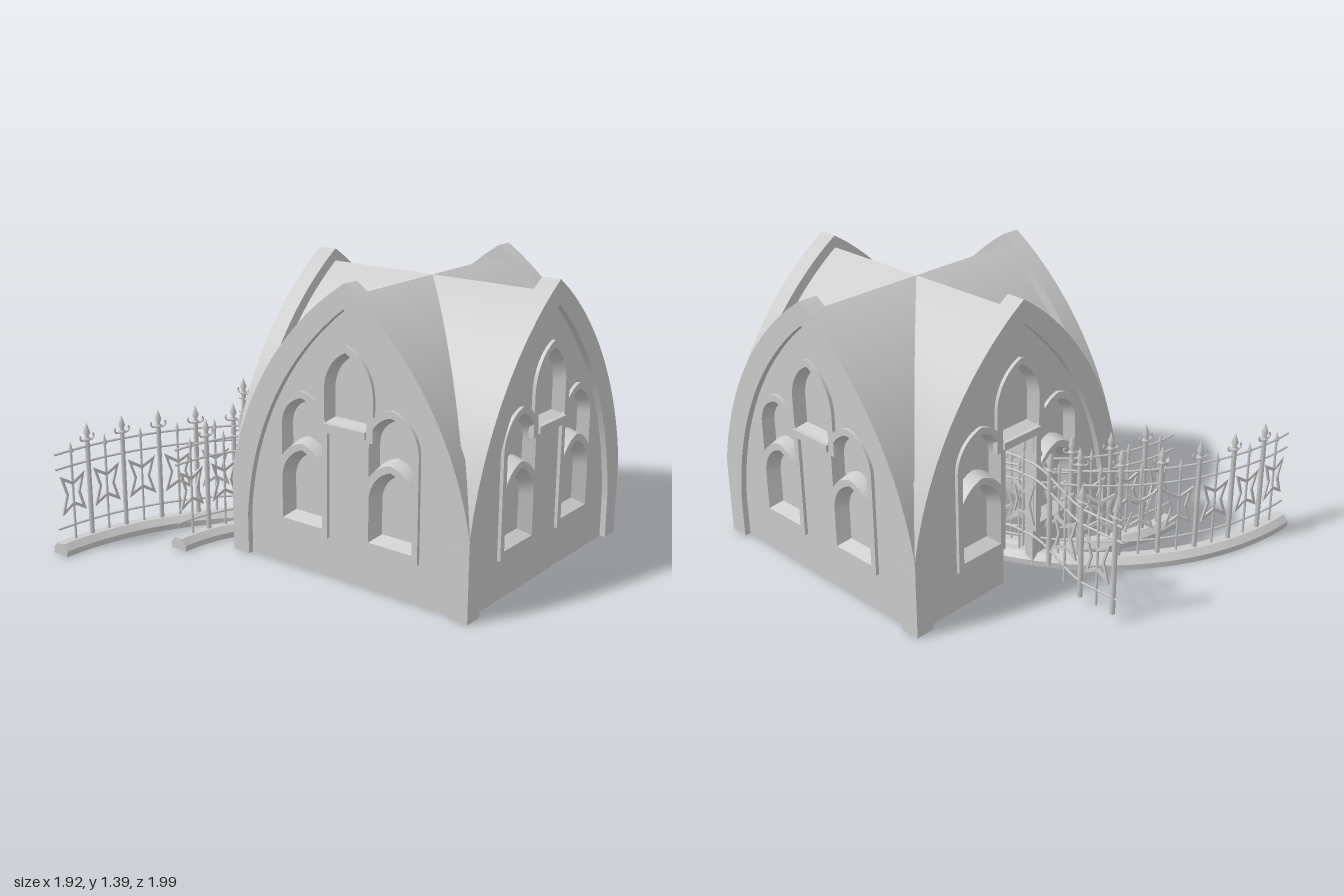
import * as THREE from 'three';
import { mergeGeometries, toCreasedNormals } from 'three/addons/utils/BufferGeometryUtils.js';

const mat = new THREE.MeshStandardMaterial({ color: 0xcccccc, side: THREE.DoubleSide });
const HALF = 0.672, WALL = 0.642, PANE = 0.6;
const V2 = (x, y) => new THREE.Vector2(x, y);

function add(parent, name, geo, x = 0, y = 0, z = 0) {
  const m = new THREE.Mesh(geo, mat);
  m.name = name;
  m.position.set(x, y, z);
  parent.add(m);
  return m;
}

// Height of a pointed arch of half-width w and rise h
function archY(x, w, h) {
  const r = (w * w + h * h) / (2 * w);
  return Math.sqrt(Math.max(0, r * r - (Math.abs(x) + r - w) ** 2));
}

// Closed window outline; the bottom edge can follow a curve
function outline(cx, w, y0, ys, ya, bottom = () => 0, n = 20) {
  const pts = [];
  for (let i = 0; i <= n; i++) {
    const x = -w * Math.cos(Math.PI * i / n);
    pts.push(V2(cx + x, y0 + bottom(x)));
  }
  for (let i = 0; i <= n; i++) {
    const x = w * Math.cos(Math.PI * i / n);
    pts.push(V2(cx + x, ys + archY(x, w, ya - ys)));
  }
  return pts;
}

// Skin through closed outlines at given depths
function loft(rings) {
  const pos = [], idx = [], n = rings[0][0].length;
  rings.forEach(([pts, z]) => pts.forEach(p => pos.push(p.x, p.y, z)));
  for (let r = 0; r < rings.length - 1; r++) for (let i = 0; i < n; i++) {
    const a = r * n + i, b = r * n + (i + 1) % n;
    idx.push(a, b, a + n, b, b + n, a + n);
  }
  const g = new THREE.BufferGeometry();
  g.setAttribute('position', new THREE.Float32BufferAttribute(pos, 3));
  g.setIndex(idx);
  return toCreasedNormals(g, 0.6);
}

// Large gable arc: half-width at height y
const outerX = y => Math.min(HALF, Math.sqrt(Math.max(0, 1.5263 ** 2 - (y - 0.11) ** 2)) - 0.83);
const innerX = y => Math.sqrt(Math.max(0, 0.909 ** 2 + 1.18 ** 2 - (y - 0.1) ** 2)) - 0.909;
function gableCurve(fx, top, n = 28) {
  const right = [];
  for (let i = 0; i < n; i++) right.push(V2(fx(top * i / n), top * i / n));
  return [...right, V2(0, top), ...right.map(p => V2(-p.x, p.y)).reverse()];
}
function extrude(pts, depth, z, holes = []) {
  const s = new THREE.Shape(pts);
  s.holes = holes.map(h => new THREE.Path(h));
  const g = new THREE.ExtrudeGeometry(s, { depth, bevelEnabled: false }).translate(0, 0, z);
  return toCreasedNormals(g, 0.5);
}

// One quarter of the groin vault, from the diagonals out to the gable
function vaultGeometry() {
  const pos = [], idx = [], n = 40, w = 0.6;
  for (let i = 0; i <= n; i++) {
    const x = -w + 2 * w * i / n, a = Math.abs(x);
    const y = 0.11 + Math.sqrt(0.83 ** 2 + 1.22 ** 2 - (a + 0.83) ** 2);
    pos.push(x, y, a, x, y, 0.61);
    if (i) { const k = 2 * i; idx.push(k - 2, k - 1, k, k - 1, k + 1, k); }
  }
  const g = new THREE.BufferGeometry();
  g.setAttribute('position', new THREE.Float32BufferAttribute(pos, 3));
  g.setIndex(idx);
  return toCreasedNormals(g, 0.4);
}

// Windows: [name, x, outer, opening, inner], each [w, bottom, spring, apex]
const lowerArch = x => 0.44 + archY(x, 0.148, 0.18);
const windows = [['upperCentreWindow', 0, [0.153, 0.7, 0.9, 1.117], [0.118, 0.745, 0.9, 1.085], [0.1, 0.765, 0.9, 1.06]]];
for (const x of [-0.25, 0.25]) windows.push(
  ['upperSideWindow', x, [0.148, -0.015, 0.69, 0.868, lowerArch], [0.118, 0, 0.69, 0.835, lowerArch], [0.1, 0.02, 0.69, 0.81, lowerArch]],
  ['lowerWindow', x, [0.148, 0.195, 0.44, 0.62], [0.118, 0.235, 0.43, 0.588], [0.085, 0.265, 0.43, 0.557]]);

function gable(hasDoor) {
  const g = new THREE.Group();
  g.name = hasDoor ? 'doorGable' : 'gable';
  const frame = [...gableCurve(outerX, 1.39), ...gableCurve(innerX, 1.28).reverse()];
  add(g, 'archFrame', extrude(frame, 0.095, HALF - 0.095));
  const wall = gableCurve(innerX, 1.28);
  if (hasDoor) wall.push(V2(-0.1, 0), V2(-0.1, 0.69), V2(0.1, 0.69), V2(0.1, 0));
  add(g, 'wall', extrude(wall, 0.05, WALL - 0.05, windows.map(w => outline(w[1], ...w[3]))));
  for (const [name, x, ...sizes] of windows) {
    const [o, m, i] = sizes.map(s => outline(x, ...s));
    add(g, name + 'Frame', loft([[o, WALL - 0.01], [o, WALL + 0.017], [m, WALL + 0.017], [i, PANE]]));
    add(g, name + 'Pane', new THREE.ShapeGeometry(new THREE.Shape(i)), 0, 0, PANE);
  }
  add(g, 'windowSill', new THREE.BoxGeometry(0.235, 0.035, 0.06), 0, 0.73, WALL);
  add(g, 'roofVault', vaultGeometry());
  return g;
}

// Fence pieces, each facing local z
const lathe = pts => new THREE.LatheGeometry(pts.map(p => V2(...p)), 8);
const curl = s => new THREE.TorusGeometry(0.017, 0.005, 5, 10, Math.PI * 1.25)
  .rotateZ(Math.PI * 0.95).scale(s, 1, 1).translate(s * 0.021, 0.552, 0);
const postGeo = mergeGeometries([
  lathe([[0, 0.05], [0.012, 0.05], [0.012, 0.53], [0.018, 0.535], [0.018, 0.545], [0.008, 0.55], [0.017, 0.575], [0, 0.625]]),
  curl(1), curl(-1)]);
const barGeo = lathe([[0, 0.05], [0.006, 0.05], [0.006, 0.49], [0.012, 0.5], [0, 0.55]]);
function starPoints(k) {
  const pts = [];
  for (const [x, y] of [[0.07, 0.1], [0, 0.058], [-0.07, 0.1], [-0.04, 0], [-0.07, -0.1], [0, -0.058], [0.07, -0.1], [0.04, 0]])
    pts.push(V2(x * k, y * k));
  return pts;
}
const starGeo = extrude(starPoints(1), 0.01, -0.005, [starPoints(0.72)]).translate(0, 0.29, 0);

// Posts, barred stars and rails along a path: at(s) gives [x, z, angle]
function fence(name, at, length, posts, bars, lift = () => 0) {
  const g = new THREE.Group();
  g.name = name;
  const put = (part, geo, s) => {
    const [x, z, a] = at(s);
    add(g, part, geo, x, lift(s), z).rotation.y = a;
  };
  posts.forEach(s => put('post', postGeo, s));
  bars.forEach(s => { put('bar', barGeo, s); put('star', starGeo, s); });
  for (const y of [0.13, 0.43, 0.505]) {
    const pts = [];
    for (let i = 0; i <= 32; i++) {
      const s = length * i / 32, [x, z] = at(s);
      pts.push(new THREE.Vector3(x, y + lift(s), z));
    }
    add(g, 'rail', new THREE.TubeGeometry(new THREE.CatmullRomCurve3(pts), 64, 0.006, 6));
  }
  return g;
}

// Quarter-circle fence on a chamfered kerb
function curvedFence(name, cx, cz, R) {
  const length = R * Math.PI / 2, posts = [], bars = [];
  for (let s = 0.095; s < length - 0.03; s += 0.19) {
    bars.push(s);
    if (s + 0.095 < length) posts.push(s + 0.095);
  }
  const at = s => [cx + R * Math.sin(s / R), cz - R * Math.cos(s / R), -s / R];
  const g = fence(name, at, length, posts, bars);
  const prof = [[-0.048, 0], [-0.048, 0.028], [-0.022, 0.058], [0.022, 0.058], [0.048, 0.028], [0.048, 0], [-0.048, 0]].map(p => V2(R + p[0], p[1]));
  const kerb = new THREE.LatheGeometry(prof, 40, Math.PI / 2, Math.PI / 2);
  add(g, 'kerb', toCreasedNormals(kerb, 0.4), cx, 0, cz);
  for (const a of [0, Math.PI / 2])
    add(g, 'kerbEnd', new THREE.ShapeGeometry(new THREE.Shape(prof)), cx, 0, cz).rotation.y = a;
  return g;
}

export function createModel() {
  const model = new THREE.Group();
  const pavilion = new THREE.Group();
  pavilion.name = 'pavilion';
  pavilion.position.set(0.292, 0, 0.322);
  for (let k = 0; k < 4; k++) {
    const side = gable(k === 2);
    side.rotation.y = k * Math.PI / 2;
    pavilion.add(side);
  }
  model.add(pavilion);

  model.add(curvedFence('longCurvedFence', -0.955, 0.304, 1.254));
  model.add(curvedFence('shortCurvedFence', -0.555, 0.233, 0.788));

  // Straight gate through the doorway, its rails rising towards the middle
  const mid = 0.57;
  const rise = s => 0.12 * (1 - THREE.MathUtils.smoothstep(Math.abs(s - mid), 0.05, 0.38));
  const both = list => list.flatMap(d => [mid - d, mid + d]);
  model.add(fence('gate', s => [0.292, -0.92 + s, Math.PI / 2], 2 * mid,
    both([0.16, 0.35, 0.54]), [mid, ...both([0.255, 0.445])], rise));
  return model;
}
